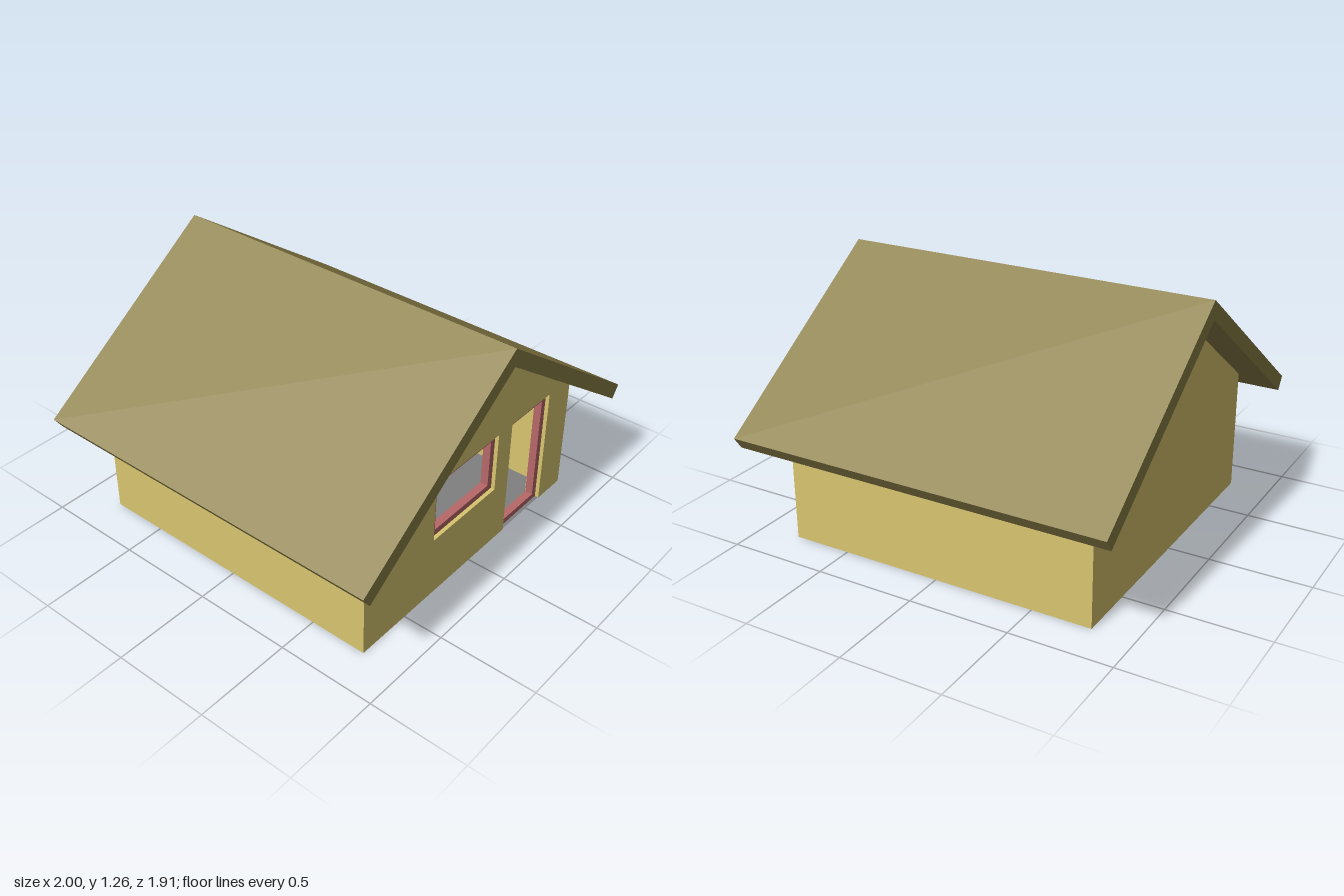
import * as THREE from 'three';

const HALF = 0.795;      // half width and depth of the walls
const WALL = 0.08;       // wall thickness
const SLOPE = 0.7;       // roof pitch
const under = (x) => 1.173 - SLOPE * Math.abs(x); // underside of the roof

const mat = (color, side = THREE.FrontSide) =>
  new THREE.MeshStandardMaterial({ color, side, flatShading: true });

const outline = (pts) => new THREE.Shape(pts.map(([x, y]) => new THREE.Vector2(x, y)));

const rect = (x0, y0, x1, y1) => [[x0, y0], [x1, y0], [x1, y1], [x0, y1]];

export function createModel() {
  const house = new THREE.Group();
  house.name = 'house';
  const wallMat = mat(0xd9c670);
  const roofMat = mat(0x8c8049);
  const frameMat = mat(0xb86868);

  // Extrudes a front-facing shape from z0 to z1
  const slab = (name, shape, z0, z1, material) => {
    const geo = new THREE.ExtrudeGeometry(shape, { depth: z1 - z0, bevelEnabled: false });
    geo.translate(0, 0, z0);
    const mesh = new THREE.Mesh(geo, material);
    mesh.name = name;
    house.add(mesh);
  };

  const door = { x0: 0.29, y0: 0, x1: 0.61, y1: 0.64 };
  const win = { x0: -0.3, y0: 0.32, x1: 0.18, y1: 0.64 };

  // Front gable wall with a door notch and a window hole
  const gableTop = [[HALF, under(HALF)], [0, under(0)], [-HALF, under(HALF)]];
  const front = outline([
    [-HALF, 0], [door.x0, 0], [door.x0, door.y1], [door.x1, door.y1], [door.x1, 0],
    [HALF, 0], ...gableTop,
  ]);
  front.holes.push(outline(rect(win.x0, win.y0, win.x1, win.y1)));
  slab('frontWall', front, HALF - WALL, HALF, wallMat);

  // Plain back gable wall
  slab('backWall', outline([[-HALF, 0], [HALF, 0], ...gableTop]), -HALF, -HALF + WALL, wallMat);

  // Side walls, with tops cut to the roof pitch
  const inner = HALF - WALL;
  for (const [name, s] of [['leftWall', 1], ['rightWall', -1]]) {
    const pts = [[s * inner, 0], [s * HALF, 0], [s * HALF, under(HALF)], [s * inner, under(inner)]];
    slab(name, outline(pts), -inner, inner, wallMat);
  }

  // Door and window frames, set back in their openings
  for (const [name, o] of [['doorFrame', door], ['windowFrame', win]]) {
    const f = 0.032;
    const shape = outline(rect(o.x0, o.y0, o.x1, o.y1));
    shape.holes.push(outline(rect(o.x0 + f, o.y0 + f, o.x1 - f, o.y1 - f)));
    slab(name, shape, HALF - 0.06, HALF - 0.02, frameMat);
  }

  // Gabled roof with overhanging eaves
  slab('roof', outline([
    [-1, 0.565], [-0.957, 0.503], [0, under(0)], [0.957, 0.503], [1, 0.565], [0, 1.265],
  ]), -0.955, 0.955, roofMat);

  // Floor
  const floor = new THREE.Mesh(
    new THREE.PlaneGeometry(2 * HALF - 0.004, 2 * HALF - 0.004).rotateX(-Math.PI / 2),
    mat(0x808080, THREE.DoubleSide));
  floor.name = 'floor';
  floor.position.y = 0.002;
  house.add(floor);

  return house;
}
